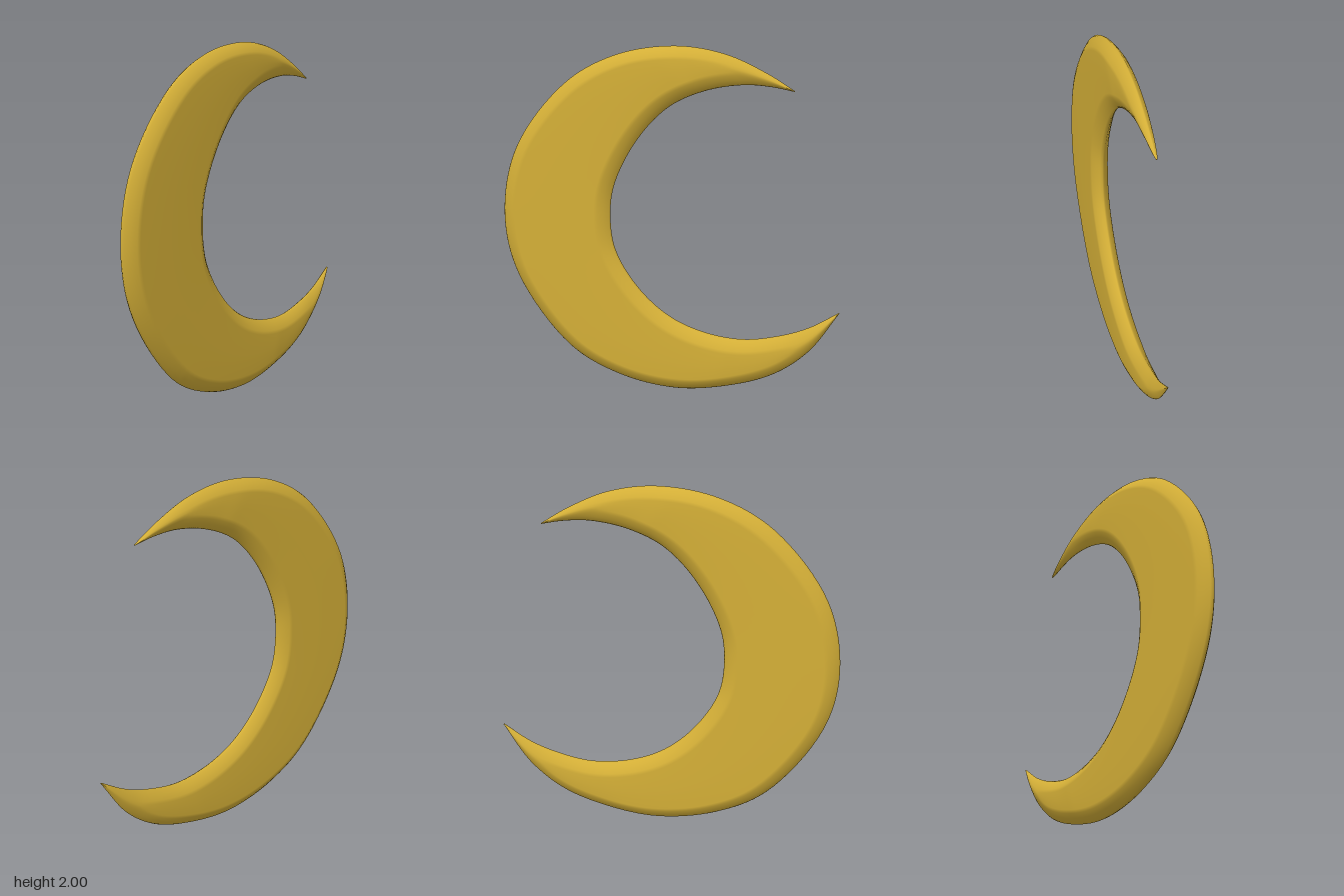
import * as THREE from 'three';

// Paired stations along the crescent, from upper tip to lower tip: [z, y]
const OUTER = [[-0.70, 1.77], [-0.55, 1.86], [-0.32, 1.96], [-0.04, 2.0], [0.3, 1.945], [0.6, 1.78], [0.9, 1.4], [0.985, 1.0],
  [0.91, 0.64], [0.6, 0.22], [0.3, 0.06], [-0.04, 0.0], [-0.35, 0.04], [-0.62, 0.135], [-0.82, 0.29], [-0.985, 0.53]];
const INNER = [[-0.70, 1.765], [-0.58, 1.787], [-0.42, 1.795], [-0.2, 1.755], [0, 1.66], [0.18, 1.47], [0.31, 1.22], [0.338, 1.05],
  [0.312, 0.83], [0.18, 0.61], [0, 0.45], [-0.2, 0.365], [-0.44, 0.335], [-0.66, 0.375], [-0.82, 0.435], [-0.98, 0.533]];

const HALF_THICKNESS = 0.055;
const BEVEL = 0.085;
// Rounded bevel: [share of bevel width, share of thickness]
const EDGE = [[0, 0], [0.08, 0.22], [0.4, 0.6], [0.75, 0.9], [1, 1]];

const curve = (pts) => new THREE.CatmullRomCurve3(pts.map(([z, y]) => new THREE.Vector3(0, y, z)));

// Closed cross-section between an outer and an inner point
function section(outer, inner) {
  const width = outer.distanceTo(inner);
  const bevel = Math.min(BEVEL, 0.45 * width);
  const half = HALF_THICKNESS * Math.min(1, Math.pow(width / 0.33, 0.6));
  const side = EDGE.map(([b, h]) => [b * bevel / width, h * half]);
  side.push([0.5, half]);
  for (let k = EDGE.length - 1; k >= 0; k--) side.push([1 - side[k][0], side[k][1]]);
  const back = side.slice(1, -1).reverse().map(([t, x]) => [t, -x]);
  return [...side, ...back].map(([t, x]) => {
    const p = outer.clone().lerp(inner, t);
    p.x = x;
    return p;
  });
}

function crescentGeometry(steps) {
  const outer = curve(OUTER), inner = curve(INNER);
  const positions = [], index = [];
  let n = 0;
  for (let i = 0; i <= steps; i++) {
    const ring = section(outer.getPoint(i / steps), inner.getPoint(i / steps));
    n = ring.length;
    ring.forEach((p) => positions.push(p.x, p.y, p.z));
  }
  for (let i = 0; i < steps; i++) {
    for (let j = 0; j < n; j++) {
      const a = i * n + j, b = i * n + (j + 1) % n;
      index.push(a, a + n, b, b, a + n, b + n);
    }
  }
  // Close both tips
  const last = steps * n;
  for (let j = 1; j < n - 1; j++) {
    index.push(0, j, j + 1, last, last + j + 1, last + j);
  }
  const g = new THREE.BufferGeometry();
  g.setAttribute('position', new THREE.Float32BufferAttribute(positions, 3));
  g.setIndex(index);
  g.computeVertexNormals();
  return g;
}

export function createModel() {
  const gold = new THREE.MeshStandardMaterial({ color: 0xd4af37 });
  gold.name = 'gold';
  const crescent = new THREE.Mesh(crescentGeometry(120), gold);
  crescent.name = 'crescent';
  const model = new THREE.Group();
  model.name = 'crescentMoon';
  model.add(crescent);
  return model;
}
